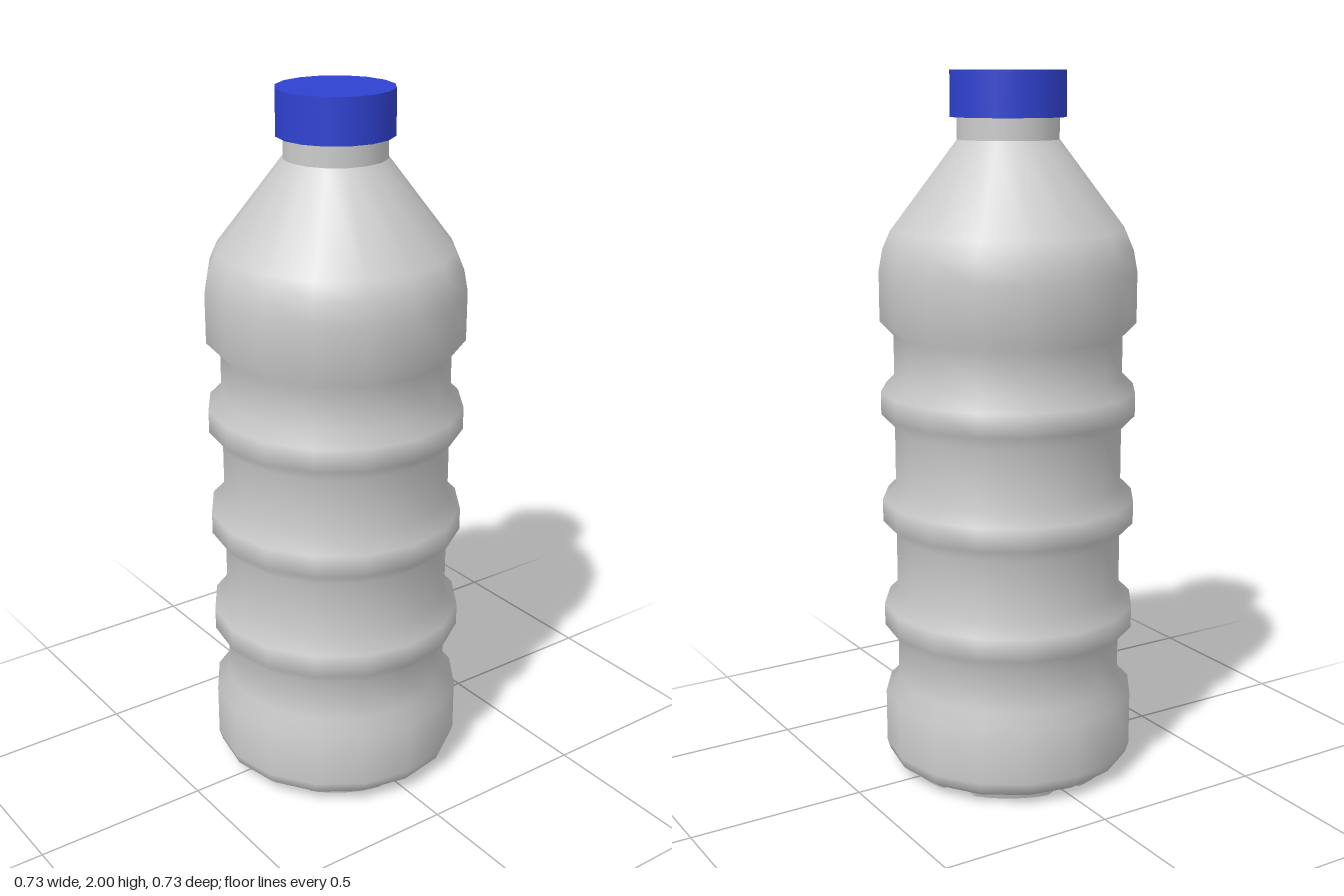
import * as THREE from 'three';

const SIDES = 16;
const grey = new THREE.MeshStandardMaterial({ color: 0xcccccc, side: THREE.DoubleSide });
const greyFlat = new THREE.MeshStandardMaterial({ color: 0xcccccc, flatShading: true, side: THREE.DoubleSide });
const blue = new THREE.MeshStandardMaterial({ color: 0x2f42d0 });

function lathe(name, profile) {
  const points = profile.map(([r, y]) => new THREE.Vector2(r, y));
  const mesh = new THREE.Mesh(new THREE.LatheGeometry(points, SIDES), grey);
  mesh.name = name;
  return mesh;
}

// Underside: six feet split by radial V grooves, rising to a recessed hub
function makeBase() {
  const radii = [0, 0.035, 0.05, 0.13, 0.26, 0.302, 0.312];
  const footY = [0.045, 0.045, 0.035, 0.012, 0, 0, 0.03];
  const grooveY = [0.045, 0.045, 0.045, 0.042, 0.036, 0.03, 0.03];
  const segments = 72;
  const geometry = new THREE.RingGeometry(0, 1, segments, radii.length - 1);
  geometry.rotateX(Math.PI / 2);
  const pos = geometry.attributes.position;
  for (let i = 0; i < pos.count; i++) {
    const ring = Math.floor(i / (segments + 1));
    const degrees = (i % (segments + 1)) * 360 / segments;
    const fromGroove = Math.abs(((degrees + 30) % 60) - 30);
    const groove = Math.max(0, 1 - fromGroove / 10);
    const a = THREE.MathUtils.degToRad(degrees);
    pos.setXYZ(i, radii[ring] * Math.cos(a),
      THREE.MathUtils.lerp(footY[ring], grooveY[ring], groove), radii[ring] * Math.sin(a));
  }
  geometry.computeVertexNormals();
  const mesh = new THREE.Mesh(geometry, greyFlat);
  mesh.name = 'base';
  return mesh;
}

export function createModel() {
  const group = new THREE.Group();
  group.name = 'bottle';
  const wide = 0.363, waist = 0.325;

  // Body: lower drum, three raised ribs, then the shoulder
  const profile = [[0.308, 0.022], [0.335, 0.025], [0.353, 0.04], [wide, 0.07], [wide, 0.225], [waist, 0.265]];
  for (let i = 0; i < 3; i++) {
    const y = 0.46 + i * 0.313;
    profile.push([waist, y - 0.07], [wide, y - 0.03], [wide, y + 0.035], [waist, y + 0.073]);
  }
  profile.push([waist, 1.28], [wide, 1.32], [wide, 1.46], [0.352, 1.52], [0.33, 1.57], [0.143, 1.815]);
  group.add(lathe('body', profile));

  group.add(lathe('neck', [[0.143, 1.815], [0.143, 1.9]]));
  group.add(makeBase());

  // Screw cap
  const cap = new THREE.Mesh(new THREE.CylinderGeometry(0.162, 0.162, 0.125, SIDES), blue);
  cap.name = 'cap';
  cap.position.y = 1.9375;
  group.add(cap);
  return group;
}
